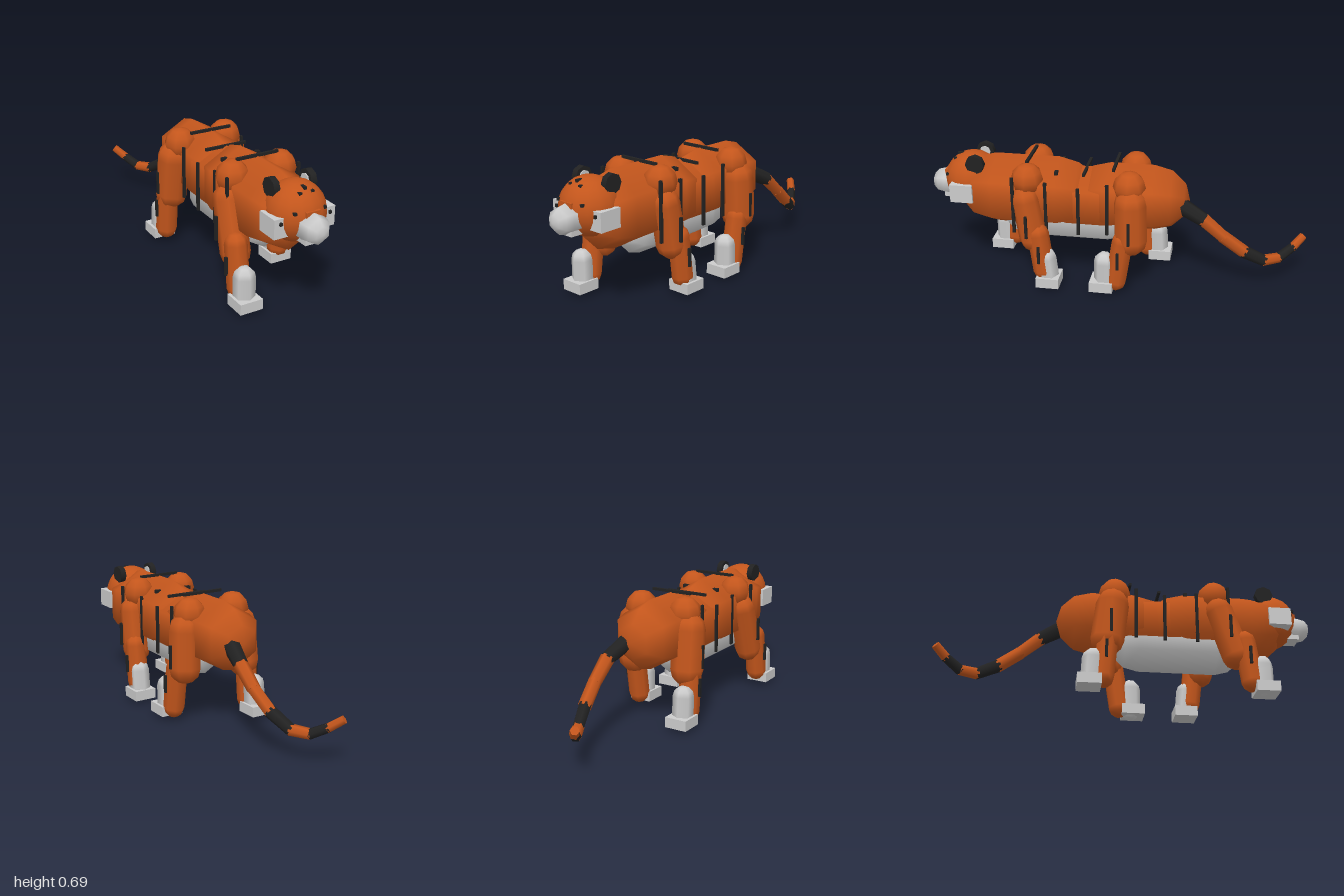
import * as THREE from 'three';

const ORANGE = new THREE.MeshStandardMaterial({ color: 0xc4561c });
const BLACK = new THREE.MeshStandardMaterial({ color: 0x222222 });
const GREY = new THREE.MeshStandardMaterial({ color: 0xcccccc });
const UP = new THREE.Vector3(0, 1, 0);

export function createModel() {
  const root = new THREE.Group();

  function add(name, geometry, material, pos, parent = root) {
    const mesh = new THREE.Mesh(geometry, material);
    mesh.name = name;
    mesh.position.set(...pos);
    parent.add(mesh);
    return mesh;
  }
  const box = (name, mat, size, pos, parent) =>
    add(name, new THREE.BoxGeometry(...size), mat, pos, parent);

  // Aligns a y-axis geometry with the line from a to b
  function span(name, mat, a, b, makeGeometry, parent) {
    const p = new THREE.Vector3(...a), d = new THREE.Vector3(...b).sub(p);
    const mid = p.clone().addScaledVector(d, 0.5);
    const mesh = add(name, makeGeometry(d.length()), mat, mid.toArray(), parent);
    mesh.quaternion.setFromUnitVectors(UP, d.normalize());
    return mesh;
  }
  // Capsule whose cap centres are a and b
  const capsule = (name, mat, r, a, b, parent, sides = 6) =>
    span(name, mat, a, b, (len) =>
      new THREE.CapsuleGeometry(r, len, 3, sides).rotateY(Math.PI / sides), parent);

  // Trunk
  capsule('chest', ORANGE, 0.2, [0, 0.47, 0.3], [0, 0.47, 0.64]);
  capsule('waist', ORANGE, 0.175, [0, 0.45, 0.03], [0, 0.45, 0.25]);
  capsule('hips', ORANGE, 0.185, [0, 0.47, -0.2], [0, 0.47, 0.03]);
  capsule('belly', GREY, 0.15, [0, 0.35, 0.05], [0, 0.35, 0.46]);

  // Head
  const head = new THREE.Group();
  head.name = 'head';
  root.add(head);
  add('skull', new THREE.SphereGeometry(0.147, 16, 12), ORANGE, [0, 0.522, 0.775], head);
  capsule('muzzle', GREY, 0.075, [0, 0.49, 0.86], [0, 0.49, 0.925], head);
  box('chin', GREY, [0.09, 0.05, 0.1], [0, 0.44, 0.88], head);
  box('noseBridge', ORANGE, [0.075, 0.07, 0.1], [0, 0.535, 0.87], head);
  box('foreheadSpot', BLACK, [0.015, 0.015, 0.03], [0, 0.654, 0.835], head);
  for (const s of [1, -1]) {
    box('cheek', GREY, [0.075, 0.097, 0.12], [s * 0.127, 0.49, 0.798], head);
    box('cheekSpot', BLACK, [0.012, 0.016, 0.012], [s * 0.133, 0.514, 0.862], head);
    box('eye', BLACK, [0.014, 0.013, 0.016], [s * 0.08, 0.563, 0.89], head);
    box('browSpot', BLACK, [0.016, 0.012, 0.025], [s * 0.033, 0.637, 0.85], head);
    add('ear', new THREE.CylinderGeometry(0.05, 0.05, 0.032, 8).rotateZ(Math.PI / 2),
      BLACK, [s * 0.1, 0.637, 0.73], head);
    add('innerEar', new THREE.CylinderGeometry(0.03, 0.03, 0.008, 8).rotateZ(Math.PI / 2),
      GREY, [s * 0.082, 0.637, 0.73], head);
  }

  // Legs: joints are [y, z]; s is the side
  const legs = [
    { name: 'frontLeg', s: 1, r: 0.075, top: [0.59, 0.445],
      upper: [[0.49, 0.45], [0.275, 0.415]], lower: [[0.31, 0.385], [0.1, 0.36]],
      sock: [[0.175, 0.345], [0.075, 0.335]], paw: 0.333 },
    { name: 'frontLeg', s: -1, r: 0.075, top: [0.59, 0.445],
      upper: [[0.49, 0.465], [0.24, 0.545]], lower: [[0.31, 0.585], [0.09, 0.615]],
      sock: [[0.175, 0.67], [0.07, 0.67]], paw: 0.682 },
    { name: 'hindLeg', s: 1, r: 0.087, top: [0.58, -0.085],
      upper: [[0.5, -0.095], [0.305, -0.1]], lower: [[0.3, -0.06], [0.07, -0.025]],
      sock: [[0.175, 0.035], [0.055, 0.035]], paw: 0.047 },
    { name: 'hindLeg', s: -1, r: 0.087, top: [0.58, -0.085],
      upper: [[0.5, -0.1], [0.295, -0.125]], lower: [[0.29, -0.125], [0.08, -0.145]],
      sock: [[0.175, -0.2], [0.075, -0.205]], paw: -0.218 },
  ];
  for (const { name, s, r, top, upper, lower, sock, paw } of legs) {
    const leg = new THREE.Group();
    leg.name = name;
    root.add(leg);
    const at = (x, [y, z]) => [s * x, y, z];
    add('joint', new THREE.SphereGeometry(0.085, 8, 6), ORANGE, at(0.133, top), leg);
    capsule('upperLeg', ORANGE, r, at(0.168, upper[0]), at(0.172, upper[1]), leg, 8);
    capsule('lowerLeg', ORANGE, 0.057, at(0.195, lower[0]), at(0.195, lower[1]), leg, 8);
    capsule('sock', GREY, 0.055, at(0.197, sock[0]), at(0.197, sock[1]), leg);
    box('paw', GREY, [0.122, 0.055, 0.122], [s * 0.198, 0.047, paw], leg);
    // Stripes on the outside of the leg
    const zUp = (upper[0][1] + upper[1][1]) / 2;
    box('upperLegStripe', BLACK, [0.012, 0.125, 0.014], [s * 0.256, 0.37, zUp], leg);
    box('lowerLegStripe', BLACK, [0.012, 0.095, 0.014],
      [s * 0.256, 0.212, (lower[0][1] + lower[1][1]) / 2], leg);
  }

  // Stripes across the back
  for (const [y, z] of [[0.673, 0.45], [0.62, 0.155], [0.658, 0]])
    box('backStripe', BLACK, [0.234, 0.014, 0.014], [0, y, z]);
  // Stripes down the flanks: x, y centre, height, z
  for (const s of [1, -1]) {
    for (const [x, y, h, z] of [[0.2, 0.465, 0.31, 0.51], [0.172, 0.45, 0.28, 0.345],
      [0.172, 0.44, 0.26, 0.175], [0.172, 0.46, 0.28, 0.025]])
      box('flankStripe', BLACK, [0.012, h, 0.016], [s * x, y, z]);
    box('backSpot', BLACK, [0.03, 0.018, 0.018], [s * 0.095, 0.617, 0.3]);
  }

  // Tail: x, y, z, radius at each joint, with the colour of the next piece
  const tail = [
    [0.05, 0.46, -0.34, 0.046, BLACK], [0.08, 0.4, -0.465, 0.038, ORANGE],
    [0.08, 0.31, -0.57, 0.034, ORANGE], [0.06, 0.222, -0.68, 0.034, BLACK],
    [0.02, 0.157, -0.785, 0.03, ORANGE], [-0.03, 0.152, -0.865, 0.027, BLACK],
    [-0.078, 0.195, -0.935, 0.024, ORANGE], [-0.122, 0.24, -0.985, 0.022, ORANGE],
  ];
  const tailGroup = new THREE.Group();
  tailGroup.name = 'tail';
  root.add(tailGroup);
  for (let i = 0; i < tail.length - 1; i++) {
    const a = tail[i], b = tail[i + 1];
    span('tailPiece', a[4], a.slice(0, 3), b.slice(0, 3),
      (len) => new THREE.CylinderGeometry(b[3], a[3], len + 0.012, 6), tailGroup);
  }
  return root;
}
